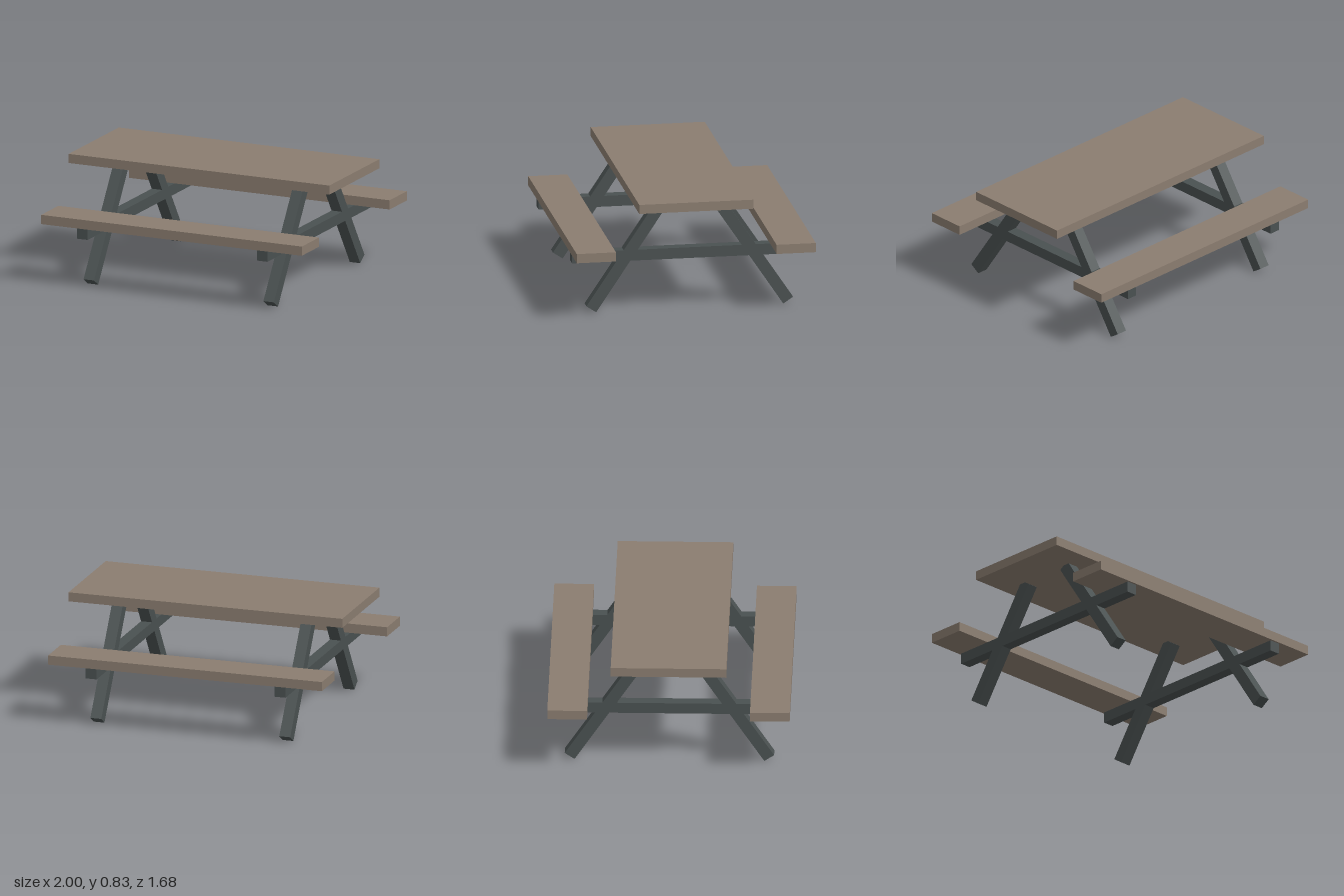
import * as THREE from 'three';

export function createModel() {
  const wood = new THREE.MeshStandardMaterial({ color: 0x8b7d70 });
  wood.name = 'weathered wood';
  const frame = new THREE.MeshStandardMaterial({ color: 0x4a5151 });
  frame.name = 'dark grey frame';

  const table = new THREE.Group();
  table.name = 'picnicTable';

  const addBox = (name, material, size, position) => {
    const mesh = new THREE.Mesh(new THREE.BoxGeometry(...size), material);
    mesh.name = name;
    mesh.position.set(...position);
    table.add(mesh);
    return mesh;
  };

  // Table top
  addBox('tableTop', wood, [2, 0.065, 0.8], [0, 0.803, 0]);

  // Benches along the front and back
  for (const [side, s] of [['front', 1], ['back', -1]]) {
    addBox(side + 'Bench', wood, [2, 0.066, 0.275], [0, 0.47, s * 0.701]);
  }

  // A-shaped frames: one crossbar and two splayed legs at each end
  const lean = Math.atan2(0.499, 0.747);
  for (const [end, x] of [['left', 0.69], ['right', -0.69]]) {
    addBox(end + 'Crossbar', frame, [0.08, 0.077, 1.65], [x, 0.3985, 0]);
    for (const [side, s] of [['Front', 1], ['Back', -1]]) {
      const leg = addBox(end + side + 'Leg', frame, [0.08, 0.898, 0.082], [x, 0.397, s * 0.441]);
      leg.rotation.x = -s * lean;
    }
  }

  return table;
}
